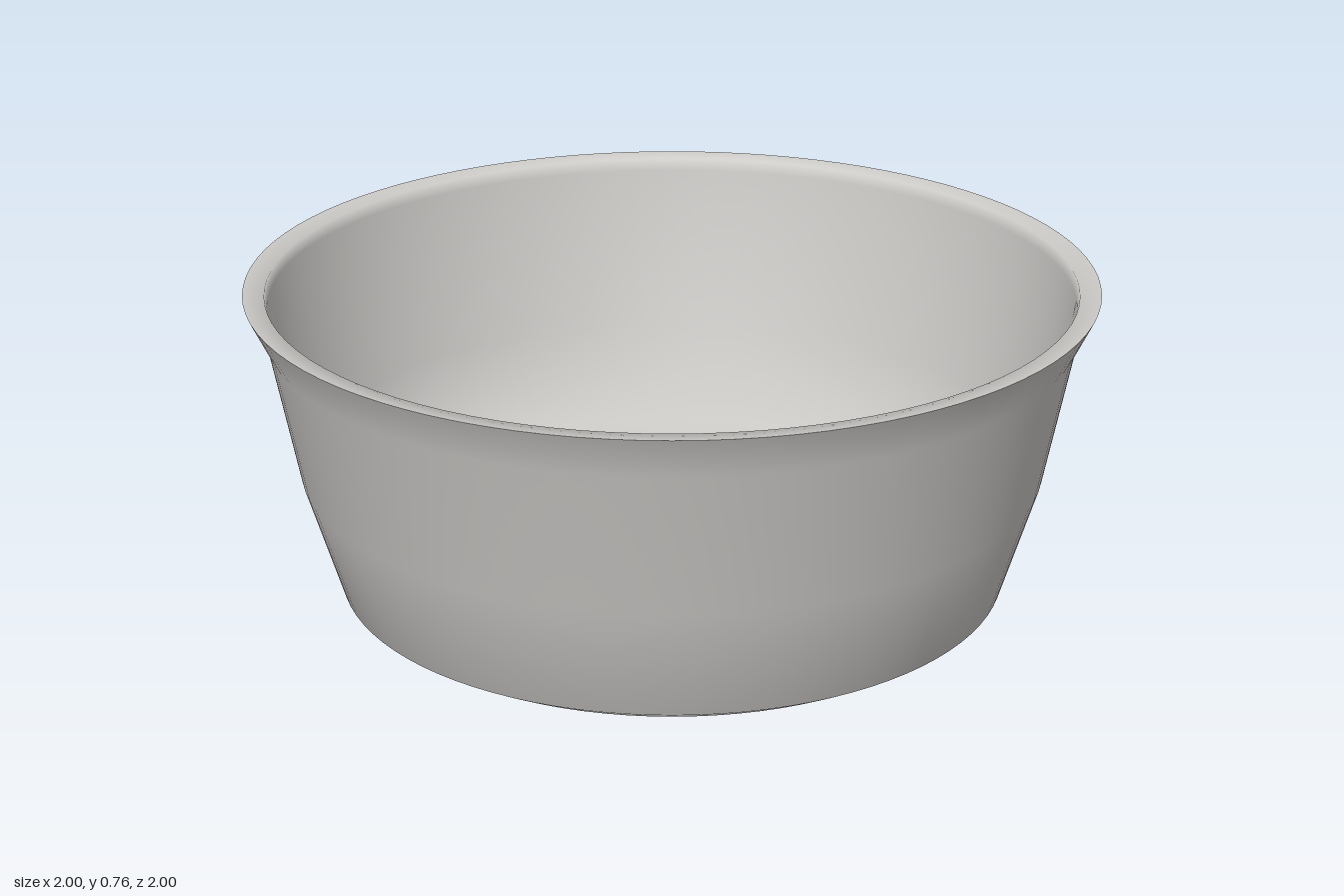
import * as THREE from 'three';

export function createModel() {
  const group = new THREE.Group();
  group.name = 'bowl';

  const ceramic = new THREE.MeshStandardMaterial({ color: 0xcccac7 });
  ceramic.name = 'warm grey';

  // Smooth revolved surface from [radius, height] points
  const addLathe = (name, points) => {
    const profile = points.map(([r, y]) => new THREE.Vector2(r, y));
    const mesh = new THREE.Mesh(new THREE.LatheGeometry(profile, 96), ceramic);
    mesh.name = name;
    group.add(mesh);
  };

  // Underside, small foot chamfer and flared wall
  addLathe('outerWall', [
    [0, 0], [0.75, 0], [0.8, 0.03], [0.885, 0.315], [0.95, 0.66], [1, 0.765],
  ]);

  // Rim, inner wall and floor; meets the outer wall in a sharp edge
  addLathe('rimAndInside', [
    [1, 0.765], [0.95, 0.76], [0.945, 0.73], [0.925, 0.62],
    [0.86, 0.33], [0.775, 0.09], [0, 0.09],
  ]);

  return group;
}
